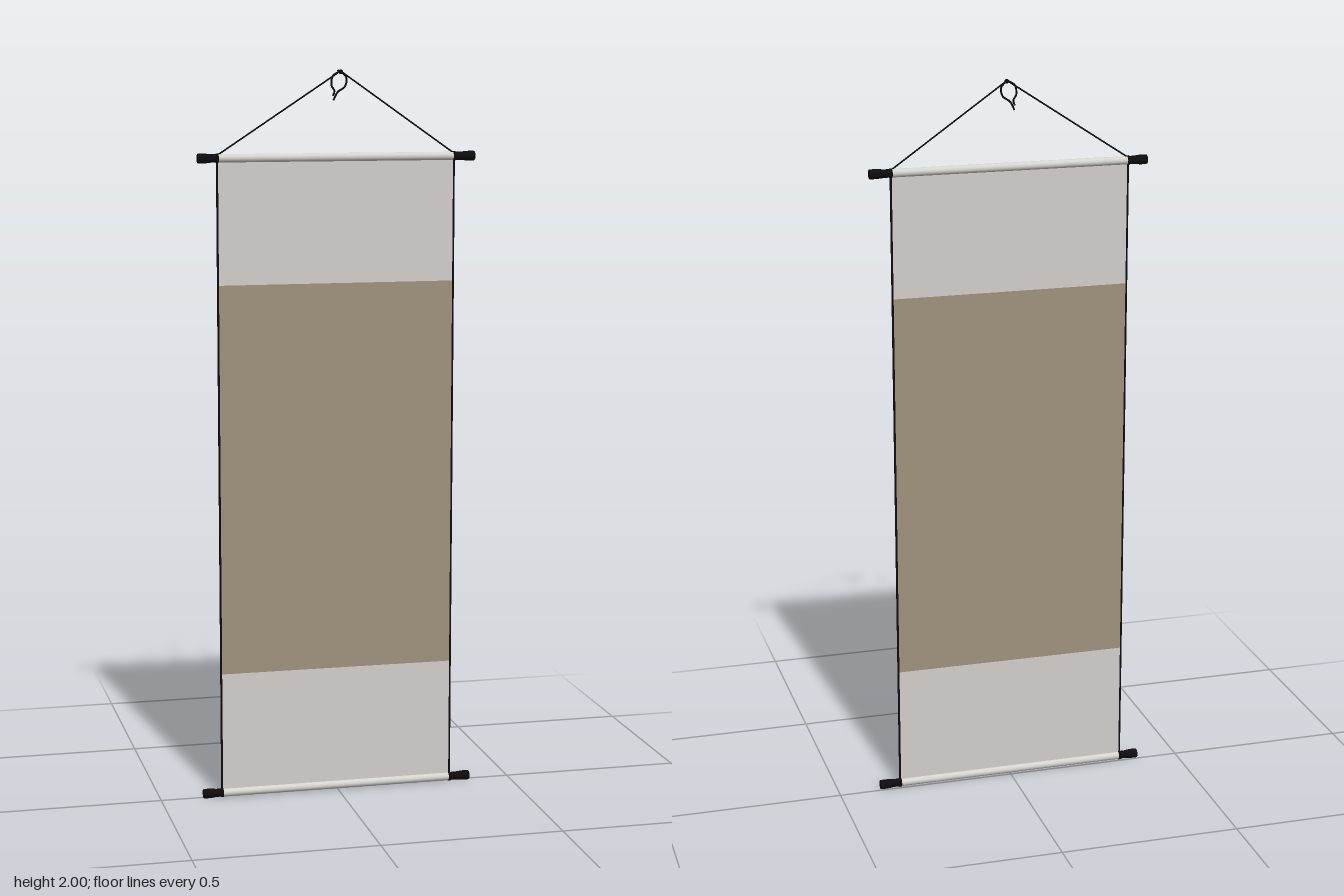
import * as THREE from 'three';

const makeMaterial = (name, color) => {
  const m = new THREE.MeshStandardMaterial({ color });
  m.name = name;
  return m;
};

export function createModel() {
  const paper = makeMaterial('pale mount', 0xd2cdca);
  const art = makeMaterial('tan panel', 0x9f917d);
  const wood = makeMaterial('light rod', 0xd3d2cc);
  const black = makeMaterial('black trim', 0x0c0c0e);

  const group = new THREE.Group();
  group.name = 'hangingScroll';
  const Z = 0.0085, LEFT = 0.325, RIGHT = -0.33;
  const MID = (LEFT + RIGHT) / 2, WIDTH = LEFT - RIGHT;
  const TOP = 1.767, BOTTOM = 0.0135;

  const add = (name, geometry, material, x = 0, y = 0, z = 0) => {
    const mesh = new THREE.Mesh(geometry, material);
    mesh.name = name;
    mesh.position.set(x, y, z);
    group.add(mesh);
    return mesh;
  };
  const box = (name, w, y0, y1, d, material, x) =>
    add(name, new THREE.BoxGeometry(w, y1 - y0, d), material, x, (y0 + y1) / 2, Z);

  // Hanging sheet in three bands, with dark side edges
  box('lowerMount', WIDTH, BOTTOM, 0.352, 0.003, paper, MID);
  box('centrePanel', WIDTH, 0.352, 1.427, 0.003, art, MID);
  box('upperMount', WIDTH, 1.427, TOP, 0.003, paper, MID);
  for (const x of [LEFT, RIGHT]) box('sideEdge', 0.005, BOTTOM, TOP, 0.004, black, x);

  // Rods with turned end knobs
  for (const y of [TOP, BOTTOM]) {
    add('rod', new THREE.CylinderGeometry(0.0112, 0.0112, WIDTH, 24), wood, MID, y, Z)
      .rotation.z = Math.PI / 2;
    for (const [x, side] of [[LEFT, 1], [RIGHT, -1]]) {
      const length = 0.383 - Math.abs(x);
      const profile = [
        [0, -0.003], [0.013, -0.003], [0.013, 0.003], [0.0112, 0.004], [0.0112, length * 0.3],
        [0.0132, length * 0.65], [0.0132, length - 0.002], [0.012, length], [0, length],
      ].map(([r, h]) => new THREE.Vector2(r, h));
      add('rodKnob', new THREE.LatheGeometry(profile, 20), black, x, y, Z)
        .rotation.z = -side * Math.PI / 2;
    }
  }

  // Hanging cord and its loose curled ends
  const tube = (name, points, radius, segments) => {
    const curve = new THREE.CatmullRomCurve3(points.map(([x, y]) => new THREE.Vector3(x, y, Z)));
    add(name, new THREE.TubeGeometry(curve, segments, radius, 8), black);
  };
  const peak = [0.008, 1.996];
  tube('cordLeft', [[LEFT - 0.002, TOP + 0.009], peak], 0.0022, 4);
  tube('cordRight', [[RIGHT + 0.002, TOP + 0.009], peak], 0.0022, 4);
  tube('cordTail', [peak, [-0.013, 1.983], [-0.017, 1.958], [-0.009, 1.943], [-0.013, 1.93]], 0.0026, 24);
  tube('cordTail', [peak, [0.024, 1.978], [0.02, 1.955], [0, 1.94], [-0.012, 1.918]], 0.0026, 24);

  // Wall nail holding the cord
  add('nail', new THREE.CylinderGeometry(0.0025, 0.0025, 0.034, 10), black, 0.008, 1.9965, -0.0045)
    .rotation.x = Math.PI / 2;
  add('nailHead', new THREE.CylinderGeometry(0.006, 0.006, 0.003, 14), black, 0.008, 1.994, 0.011)
    .rotation.x = Math.PI / 2;

  return group;
}
